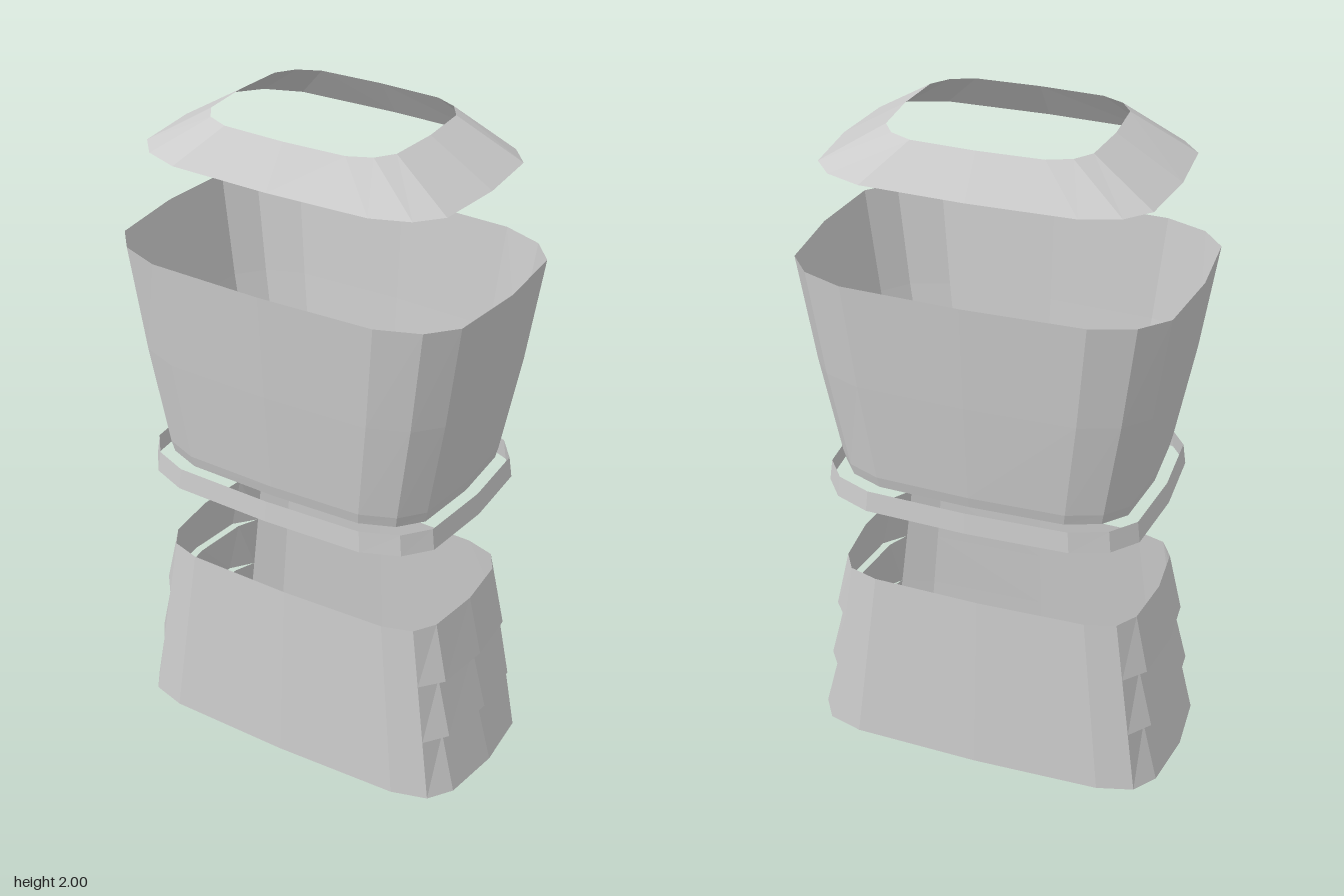
import * as THREE from 'three';

const material = new THREE.MeshStandardMaterial({
  color: 0xcccccc, flatShading: true, side: THREE.DoubleSide,
});

// Mirrors a quarter outline [x, z] (side midpoint to front midpoint) into a 16-point loop.
function fullLoop(quarter) {
  const front = [...quarter, ...quarter.slice(0, -1).reverse().map(([x, z]) => [-x, z])];
  return [...front, ...front.slice(1, -1).reverse().map(([x, z]) => [x, -z])];
}

// Open shell through a stack of levels { y, quarter }, listed from bottom to top.
function shell(name, levels) {
  const positions = [];
  const index = [];
  for (const { y, quarter } of levels) {
    for (const [x, z] of fullLoop(quarter)) positions.push(x, y, z);
  }
  const n = positions.length / 3 / levels.length;
  for (let l = 0; l < levels.length - 1; l++) {
    for (let i = 0; i < n; i++) {
      const a = l * n + i, b = l * n + (i + 1) % n;
      index.push(a, a + n, b, b, a + n, b + n);
    }
  }
  const geometry = new THREE.BufferGeometry();
  geometry.setAttribute('position', new THREE.Float32BufferAttribute(positions, 3));
  geometry.setIndex(index);
  geometry.computeVertexNormals();
  const mesh = new THREE.Mesh(geometry, material);
  mesh.name = name;
  return mesh;
}

// Unit outlines, scaled to a half width and half depth at each level.
const upperOutline = [[1, 0], [0.965, 0.63], [0.842, 0.845], [0.623, 0.97], [0, 1]];
const lowerOutline = [[1, 0], [0.965, 0.62], [0.88, 0.86], [0.69, 0.965], [0, 1]];
const level = (y, w, d, outline = upperOutline) =>
  ({ y, quarter: outline.map(([x, z]) => [x * w, z * d]) });

export function createModel() {
  const group = new THREE.Group();
  group.name = 'garmentShells';

  // Sloping collar
  group.add(shell('collar', [level(1.885, 0.495, 0.33), level(2, 0.305, 0.247)]));

  // Flared chest shell
  group.add(shell('chest', [
    level(0.94, 0.452, 0.322), level(0.975, 0.46, 0.33),
    level(1.28, 0.52, 0.357), level(1.6, 0.57, 0.38),
  ]));

  // Loose belt around the chest's lower edge
  group.add(shell('belt', [level(0.875, 0.498, 0.363), level(0.94, 0.49, 0.358)]));

  // Three tapering skirt bands: front and back run straight, sides overlap in steps
  const skirt = new THREE.Group();
  skirt.name = 'skirt';
  const heights = [0, 0.195, 0.385, 0.572];
  const sideBottom = [0.57, 0.545, 0.522];
  const sideTop = [0.52, 0.497, 0.48];
  const skirtLevel = (y, sideWidth) => {
    const t = y / 0.572;
    const w = THREE.MathUtils.lerp(0.57, 0.48, t);
    const d = THREE.MathUtils.lerp(0.306, 0.272, t);
    return {
      y,
      quarter: lowerOutline.map(([x, z], i) => [x * (i < 2 ? sideWidth : w), z * d]),
    };
  };
  for (let i = 0; i < 3; i++) {
    skirt.add(shell('skirtBand' + (i + 1), [
      skirtLevel(heights[i], sideBottom[i]),
      skirtLevel(heights[i + 1], sideTop[i]),
    ]));
  }
  group.add(skirt);

  return group;
}
